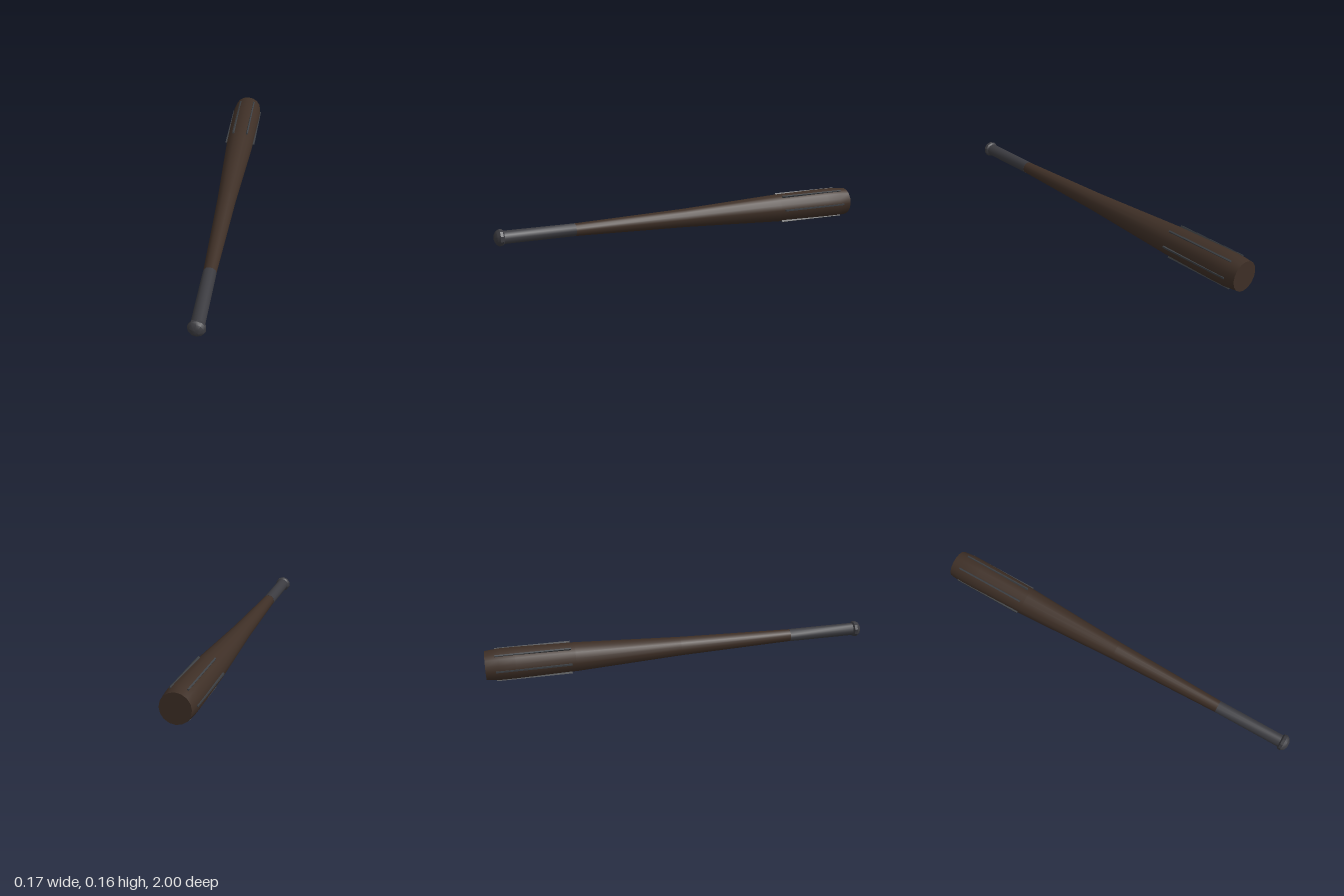
import * as THREE from 'three';
import { toCreasedNormals } from 'three/addons/utils/BufferGeometryUtils.js';

const AXIS_Y = 0.083;

const material = (name, color) => {
  const m = new THREE.MeshStandardMaterial({ color });
  m.name = name;
  return m;
};

// Revolve [z, radius] pairs, listed from back to front, around the z axis
function turned(name, profile, sides, mat) {
  const points = profile.map(([z, r]) => new THREE.Vector2(r, z));
  const geometry = new THREE.LatheGeometry(points, sides).rotateX(Math.PI / 2);
  const mesh = new THREE.Mesh(toCreasedNormals(geometry, 0.6), mat);
  mesh.name = name;
  return mesh;
}

export function createModel() {
  const wood = material('dark wood', 0x3e2f26);
  const wrap = material('grip wrap', 0x3b3b40);
  const metal = material('dark metal', 0x3c3f43);

  const bat = new THREE.Group();
  bat.name = 'bat';
  bat.position.y = AXIS_Y;

  // Tapered barrel with a slightly narrowed flat end
  bat.add(turned('barrel', [
    [-1, 0], [-1, 0.074], [-0.93, 0.081], [-0.85, 0.081],
    [-0.55, 0.075], [0, 0.049], [0.6, 0.032],
  ], 16, wood));

  // Wrapped handle
  bat.add(turned('grip', [[0.6, 0], [0.6, 0.033], [0.97, 0.033], [0.97, 0]], 12, wrap));

  // Rounded end knob
  bat.add(turned('knob', [
    [0.95, 0], [0.952, 0.03], [0.962, 0.041], [0.976, 0.043], [0.99, 0.034], [1, 0.016], [1, 0],
  ], 10, wrap));

  // Six metal strips set into the barrel
  const strips = new THREE.Group();
  strips.name = 'barrelStrips';
  for (let i = 0; i < 6; i++) {
    const angle = (i * Math.PI) / 3;
    const strip = new THREE.Mesh(new THREE.BoxGeometry(0.01, 0.008, 0.38), metal);
    strip.name = 'barrelStrip';
    strip.position.set(0.079 * Math.cos(angle), 0.079 * Math.sin(angle), -0.76);
    strip.rotation.z = angle;
    strips.add(strip);
  }
  bat.add(strips);

  const model = new THREE.Group();
  model.name = 'model';
  model.add(bat);
  return model;
}
